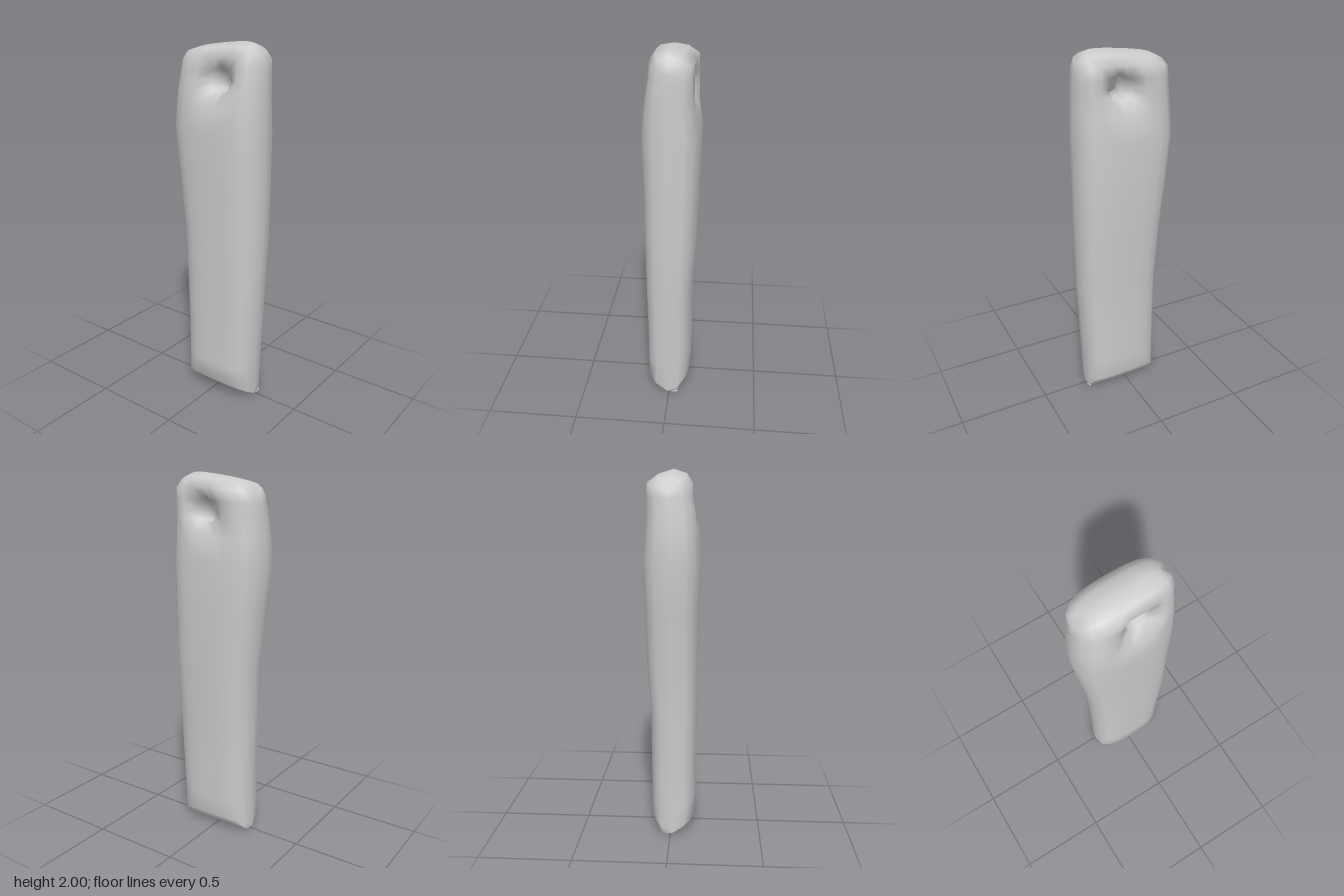
import * as THREE from 'three';
import { mergeVertices } from 'three/addons/utils/BufferGeometryUtils.js';

// Cross-sections from bottom to top:
// [xLow, xHigh, yLow, yHigh, bowFront, bowBack, zFront, zBack]
const ROWS = [
  [-0.2, 0.235, 0.012, 0.005, 0.02, 0.02, -0.05, -0.05],
  [-0.2, 0.235, 0.013, 0.006, 0.03, 0.035, 0.07, -0.085],
  [-0.2, 0.235, 0.016, 0.01, 0.075, 0.075, 0.135, -0.11],
  [-0.2, 0.24, 0.2, 0.2, 0, 0, 0.135, -0.113],
  [-0.2, 0.248, 0.38, 0.38, 0, 0, 0.135, -0.115],
  [-0.205, 0.262, 0.68, 0.68, 0, 0, 0.14, -0.118],
  [-0.217, 0.268, 0.97, 0.97, 0, 0, 0.143, -0.138],
  [-0.25, 0.27, 1.27, 1.27, 0, 0, 0.146, -0.145],
  [-0.275, 0.27, 1.55, 1.55, 0, 0, 0.155, -0.152],
  [-0.264, 0.267, 1.69, 1.69, 0, 0, 0.145, -0.138],
  [-0.256, 0.265, 1.76, 1.76, 0, 0, 0.138, -0.136],
  [-0.25, 0.264, 1.81, 1.81, 0, 0, 0.13, -0.136],
  [-0.245, 0.262, 1.845, 1.855, 0.015, 0.015, 0.12, -0.135],
  [-0.24, 0.26, 1.875, 1.895, 0.04, 0.045, 0.11, -0.13],
  [-0.225, 0.248, 1.9, 1.935, 0.055, 0.055, 0.075, -0.075],
  [-0.195, 0.21, 1.925, 1.975, 0.04, 0.04, 0, 0],
];
const COLS = [-1, -0.95, -0.8, -0.6, -0.35, -0.1, 0.14, 0.38, 0.6, 0.8, 0.95, 1];

// Hole: the grid block two cells wide and two high around (I, J)
const HOLE = { x: 0.042, y: 1.812, i: 6, j: 11 };
const holeRing = [[1, 0], [1, 1], [0, 1], [-1, 1], [-1, 0], [-1, -1], [0, -1], [1, -1]];

function surfacePoint(i, j, front) {
  const [xa, xb, ya, yb, bowF, bowB, zf, zb] = ROWS[j];
  const u = COLS[i], t = (u + 1) / 2;
  const round = Math.pow(Math.max(0, 1 - Math.abs(u) ** 3), 1 / 3);
  const mid = (zf + zb) / 2;
  let x = xa + (xb - xa) * t;
  let y = ya + (yb - ya) * t + (front ? bowF : bowB) * round;
  let z = mid + ((front ? zf : zb) - mid) * round;
  // Draw the surface into a dish around the hole
  const di = i - HOLE.i, dj = j - HOLE.j;
  const ring = Math.max(Math.abs(di), Math.abs(dj));
  if (ring === 1) {
    const a = Math.atan2(dj, di);
    x = HOLE.x + 0.068 * Math.cos(a);
    y = HOLE.y + 0.068 * Math.sin(a);
    z *= 0.62;
  } else if (ring === 2 && dj < 2) z *= 0.97;
  return [x, y, z];
}

function tagGeometry() {
  const positions = [];
  const quad = (a, b, c, d) => positions.push(...a, ...b, ...c, ...a, ...c, ...d);
  // Front and back sheets, left open at the hole
  for (let j = 0; j < ROWS.length - 1; j++) {
    for (let i = 0; i < COLS.length - 1; i++) {
      const inHole = (i === HOLE.i - 1 || i === HOLE.i) && (j === HOLE.j - 1 || j === HOLE.j);
      if (inHole) continue;
      for (const front of [true, false]) {
        const a = surfacePoint(i, j, front), b = surfacePoint(i + 1, j, front);
        const c = surfacePoint(i + 1, j + 1, front), d = surfacePoint(i, j + 1, front);
        if (front) quad(a, b, c, d);
        else quad(a, d, c, b);
      }
    }
  }
  // Hole wall, narrowest halfway through
  const lip = (k, front) => {
    const [di, dj] = holeRing[k % 8];
    return surfacePoint(HOLE.i + di, HOLE.j + dj, front);
  };
  const throat = (k) => {
    const a = ((k % 8) * Math.PI) / 4;
    return [HOLE.x + 0.058 * Math.cos(a), HOLE.y + 0.058 * Math.sin(a), 0];
  };
  for (let k = 0; k < 8; k++) {
    quad(lip(k, true), lip(k + 1, true), throat(k + 1), throat(k));
    quad(throat(k), throat(k + 1), lip(k + 1, false), lip(k, false));
  }
  let geometry = new THREE.BufferGeometry();
  geometry.setAttribute('position', new THREE.Float32BufferAttribute(positions, 3));
  geometry = mergeVertices(geometry, 1e-4);
  geometry.computeVertexNormals();
  return geometry;
}

export function createModel() {
  const group = new THREE.Group();
  group.name = 'piercedBar';
  const body = new THREE.Mesh(tagGeometry(), new THREE.MeshStandardMaterial({ color: 0xcccccc }));
  body.name = 'barWithHole';
  group.add(body);
  return group;
}
